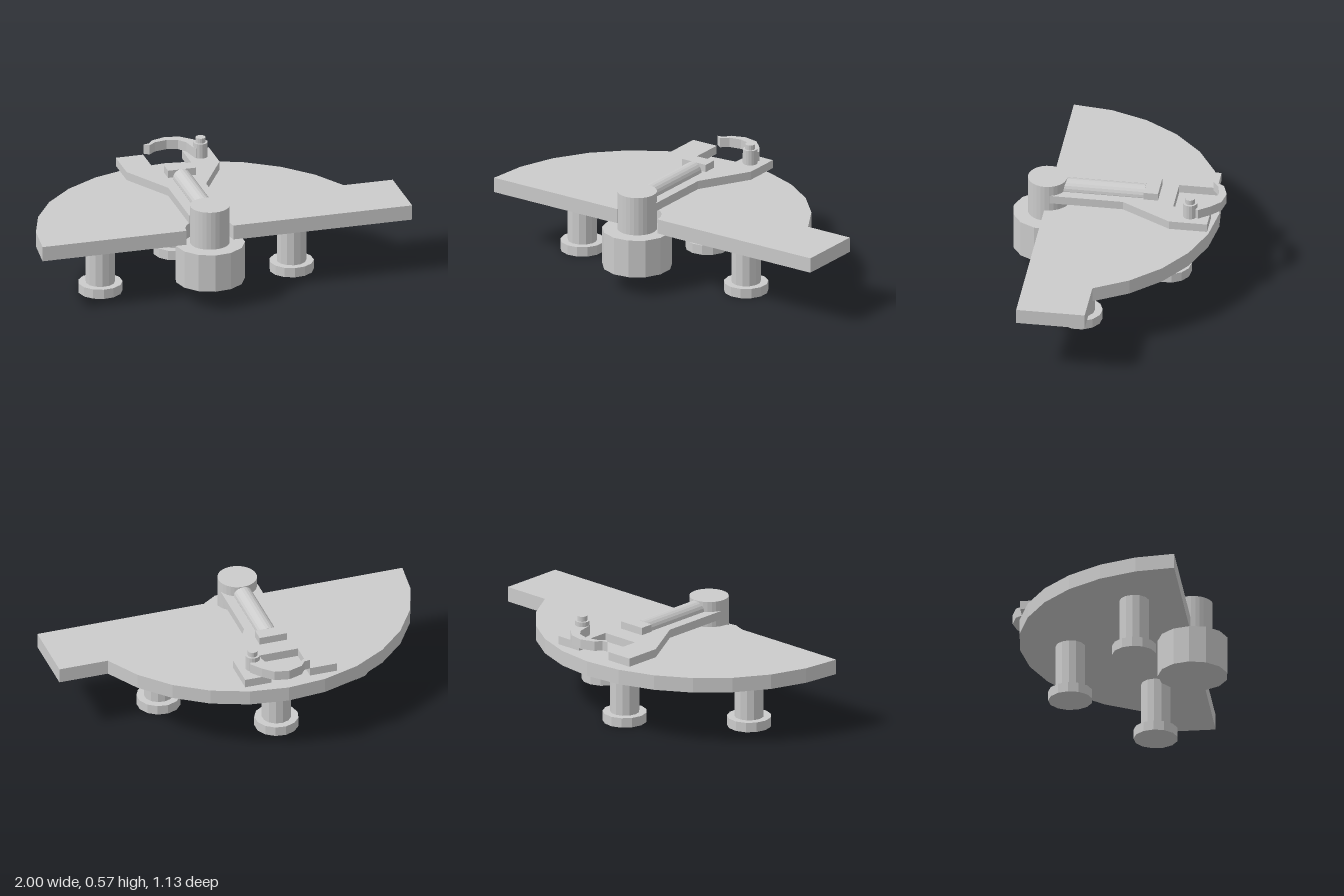
import * as THREE from 'three';

const material = new THREE.MeshStandardMaterial({ color: 0xcccccc, flatShading: true });

export function createModel() {
  const model = new THREE.Group();
  const AX = -0.095, AZ = 0.38; // pivot axis shared by plate, motor and arm

  function add(name, geometry) {
    const mesh = new THREE.Mesh(geometry, material);
    mesh.name = name;
    model.add(mesh);
    return mesh;
  }
  // Upright cylinder between two heights
  function post(name, x, z, r, y0, y1, sides = 13) {
    const g = new THREE.CylinderGeometry(r, r, y1 - y0, sides, 1, false, -Math.PI / 2);
    add(name, g).position.set(x, (y0 + y1) / 2, z);
  }
  // Flat slab from an outline of [x, z] points
  function slab(name, points, y0, y1) {
    const shape = new THREE.Shape(points.map(([x, z]) => new THREE.Vector2(x, -z)));
    const g = new THREE.ExtrudeGeometry(shape, { depth: y1 - y0, bevelEnabled: false });
    add(name, g.rotateX(-Math.PI / 2)).position.y = y0;
  }
  // Points of an arc on the plan; angle 0 is +x, 90 degrees is the back
  function arc(cx, cz, r, from, to, steps) {
    return Array.from({ length: steps + 1 }, (_, i) => {
      const a = THREE.MathUtils.degToRad(from + (to - from) * i / steps);
      return [cx + r * Math.cos(a), cz - r * Math.sin(a)];
    });
  }

  // Semicircular plate with a side tab and a notch around the pivot
  slab('basePlate', [
    [1, AZ], [1, 0.02],
    ...arc(AX, AZ, 0.905, 23.5, 180, 12),
    ...arc(AX, AZ, 0.127, 180, 0, 10),
  ], 0.31, 0.39);

  // Three legs with wider feet
  for (const [x, z] of [[-0.615, 0.13], [0.42, 0.13], [-0.095, -0.26]]) {
    post('leg', x, z, 0.077, 0.05, 0.312);
    post('foot', x, z, 0.116, 0, 0.052);
  }

  // Motor housing and pivot
  post('motor', AX, AZ, 0.183, 0.108, 0.312);
  post('pivotPost', AX, AZ, 0.103, 0.31, 0.52, 28);

  // Forked arm
  slab('forkedArm', [
    [-0.2, 0.36], [0.005, 0.36], [0.005, -0.03], [0.155, -0.295], [0.155, -0.495],
    [0.01, -0.495], [0.01, -0.295], [-0.2, -0.295], [-0.2, -0.495],
    [-0.348, -0.495], [-0.348, -0.295], [-0.2, -0.03],
  ], 0.42, 0.465);

  // Plunger lying along the arm
  const rod = add('plungerRod', new THREE.CylinderGeometry(0.049, 0.049, 0.45, 20).rotateX(Math.PI / 2));
  rod.position.set(AX, 0.468, 0.09);
  add('plungerTip', new THREE.BoxGeometry(0.15, 0.04, 0.075)).position.set(AX, 0.495, -0.173);

  // Hinge pin and curved claw
  post('hingePin', 0.081, -0.395, 0.038, 0.46, 0.545, 16);
  post('hingePinCap', 0.081, -0.395, 0.026, 0.54, 0.572, 16);
  slab('claw', [
    [0.05, -0.37], [0.09, -0.375], [0.1, -0.42], [0.11, -0.44], [0.065, -0.5],
    [0.012, -0.55], [-0.065, -0.565], [-0.14, -0.54], [-0.165, -0.505], [-0.197, -0.5],
    [-0.17, -0.48], [-0.13, -0.512], [-0.066, -0.524], [-0.007, -0.507], [0.025, -0.465], [0.038, -0.4],
  ], 0.468, 0.52);

  return model;
}
